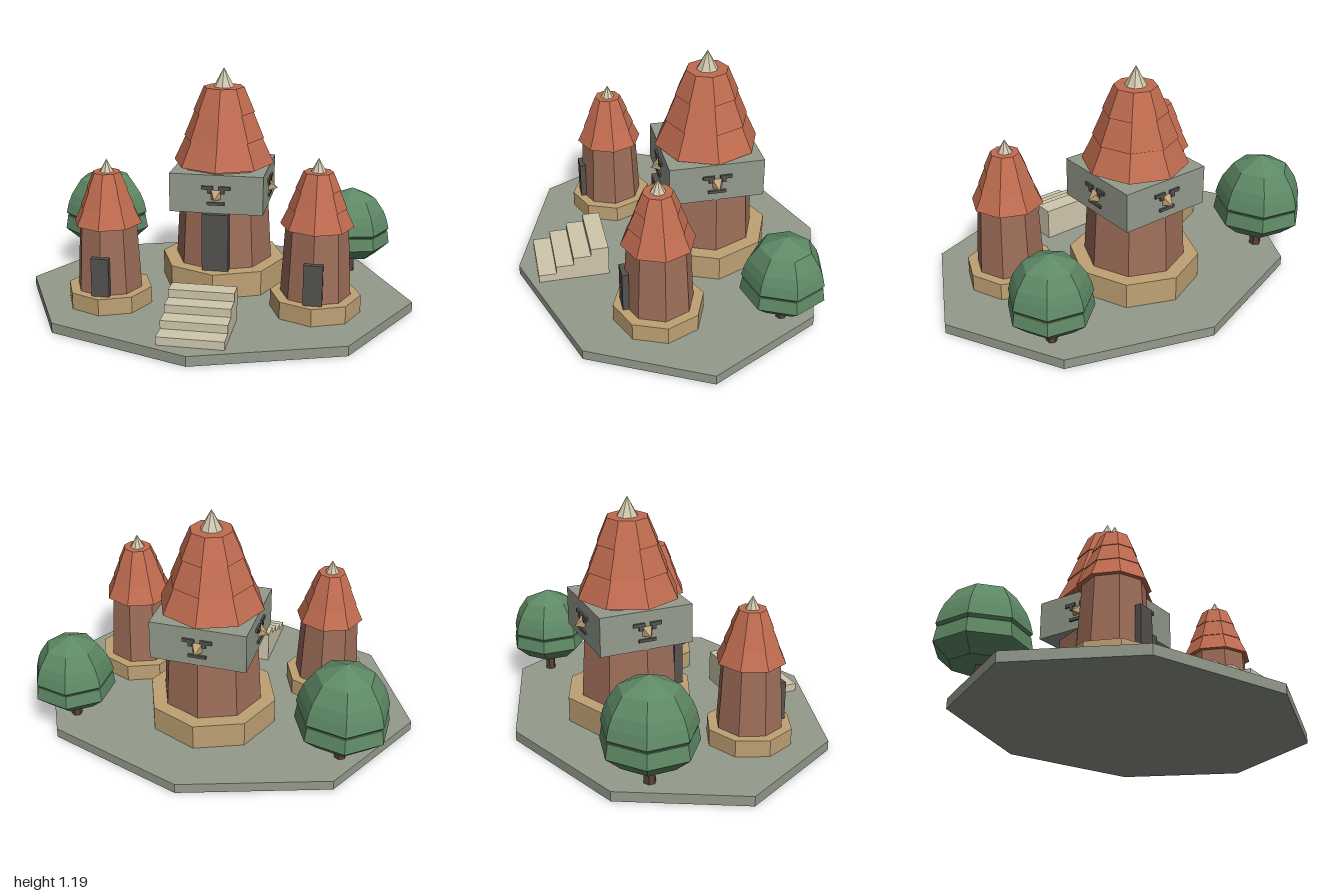
import * as THREE from 'three';

const mat = (color) => new THREE.MeshStandardMaterial({ color, flatShading: true });
const M = {
  stone: mat(0x949b8c), tan: mat(0xbfa274), wall: mat(0x9f6e5a), roof: mat(0xc06c50),
  dark: mat(0x55524e), ivory: mat(0xd0c7ad), leaf: mat(0x5f8a66), bark: mat(0x5a4038),
};

function add(parent, name, geometry, material, x = 0, y = 0, z = 0) {
  const mesh = new THREE.Mesh(geometry, material);
  mesh.name = name;
  mesh.position.set(x, y, z);
  parent.add(mesh);
  return mesh;
}

// Eight-sided frustum standing between two heights
function frustum(parent, name, material, rBottom, rTop, y0, y1, sides = 8) {
  const g = new THREE.CylinderGeometry(rTop, rBottom, y1 - y0, sides);
  return add(parent, name, g, material, 0, (y0 + y1) / 2, 0);
}

function group(parent, name, x, y, z, scale = 1) {
  const g = new THREE.Group();
  g.name = name;
  g.position.set(x, y, z);
  g.scale.setScalar(scale);
  parent.add(g);
  return g;
}

// Plinth, tapered wall, three overlapping roof tiers, finial and door
function tower(parent, name, x, z, scale) {
  const t = group(parent, name, x, 0.05, z, scale);
  frustum(t, 'plinth', M.tan, 0.33, 0.33, 0, 0.13);
  frustum(t, 'wall', M.wall, 0.255, 0.225, 0.13, 0.65);
  const tiers = [[0.264, 0.198, 0.645, 0.785], [0.21, 0.15, 0.775, 0.92], [0.161, 0.106, 0.91, 1.038]];
  tiers.forEach(([r0, r1, y0, y1]) => frustum(t, 'roofTier', M.roof, r0, r1, y0, y1));
  add(t, 'finial', new THREE.ConeGeometry(0.055, 0.1, 8), M.ivory, 0, 1.086, 0);
  add(t, 'door', new THREE.BoxGeometry(0.136, 0.3, 0.046), M.dark, 0, 0.28, 0.245);
  return t;
}

// Carved face for one side of the square storey
function carvedFace(parent, angle) {
  const f = group(parent, 'carvedFace', 0, 0, 0);
  f.rotation.y = angle;
  for (const s of [-1, 1]) {
    add(f, 'brow', new THREE.BoxGeometry(0.06, 0.018, 0.02), M.dark, s * 0.044, 0.564, 0.24);
    add(f, 'eye', new THREE.BoxGeometry(0.02, 0.022, 0.02), M.dark, s * 0.034, 0.546, 0.24);
  }
  add(f, 'mouth', new THREE.BoxGeometry(0.09, 0.015, 0.02), M.dark, 0, 0.482, 0.24);
  // Pyramid nose with its tip drooping
  const nose = new THREE.ConeGeometry(0.037, 0.05, 4);
  nose.rotateY(Math.PI / 4).rotateX(Math.PI / 2);
  const p = nose.attributes.position;
  for (let i = 0; i < p.count; i++) if (p.getZ(i) > 0) p.setY(i, -0.018);
  add(f, 'nose', nose, M.tan, 0, 0.529, 0.261);
}

// Seven-sided tree: flared lower foliage under a faceted dome
function tree(parent, name, x, z, scale) {
  const t = group(parent, name, x, 0.05, z, scale);
  frustum(t, 'trunk', M.bark, 0.028, 0.022, -0.04, 0.15, 6);
  const foliage = (part, pts) => add(t, part,
    new THREE.LatheGeometry(pts.map(([r, y]) => new THREE.Vector2(r, y)), 7, Math.PI / 2), M.leaf);
  foliage('lowerFoliage', [[0, 0.105], [0.135, 0.105], [0.207, 0.17], [0.196, 0.235], [0, 0.235]]);
  foliage('foliageDome', [[0, 0.225], [0.18, 0.225], [0.202, 0.25], [0.19, 0.3], [0.172, 0.345],
    [0.125, 0.415], [0, 0.47]]);
}

export function createModel() {
  const model = new THREE.Group();
  model.name = 'towerCourtyard';

  // Stretched octagonal ground slab
  frustum(model, 'ground', M.stone, 1, 1, 0, 0.05).scale.z = 0.8;

  // Central tower with its square carved storey
  const main = tower(model, 'centralTower', 0, -0.19, 1);
  add(main, 'squareStorey', new THREE.BoxGeometry(0.48, 0.2, 0.48), M.stone, 0, 0.53, 0);
  for (let i = 0; i < 4; i++) carvedFace(main, i * Math.PI / 2);

  // Side towers
  tower(model, 'rightTower', -0.51, 0.23, 0.65);
  tower(model, 'leftTower', 0.52, 0.165, 0.68);

  // Stairs rising towards the central tower
  const stairs = group(model, 'stairs', 0, 0.05, 0);
  for (let i = 0; i < 4; i++) {
    const h = 0.041 * (i + 1);
    add(stairs, 'step', new THREE.BoxGeometry(0.32, h, 0.09), M.ivory, 0, h / 2, 0.665 - i * 0.09);
  }

  tree(model, 'rightTree', -0.7, -0.375, 1.13);
  tree(model, 'leftTree', 0.665, -0.41, 1);
  return model;
}
